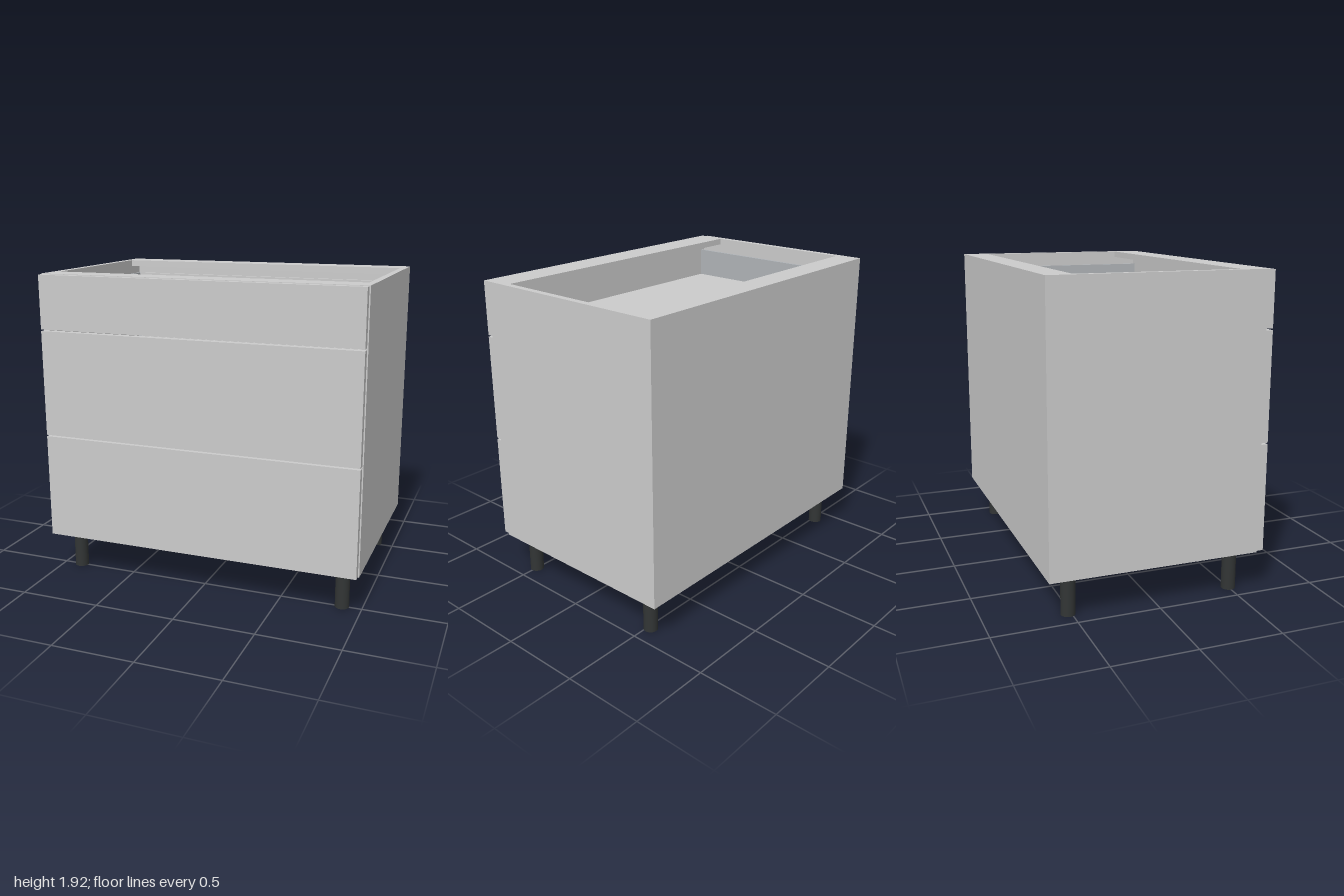
import * as THREE from 'three';

const grey = new THREE.MeshStandardMaterial({ color: 0xcccccc });
const metal = new THREE.MeshStandardMaterial({ color: 0xb0b4b8 });
const dark = new THREE.MeshStandardMaterial({ color: 0x323535 });

// Box given by its extents on each axis
function panel(parent, name, [x0, x1], [y0, y1], [z0, z1], material = grey) {
  const mesh = new THREE.Mesh(new THREE.BoxGeometry(x1 - x0, y1 - y0, z1 - z0), material);
  mesh.position.set((x0 + x1) / 2, (y0 + y1) / 2, (z0 + z1) / 2);
  mesh.name = name;
  parent.add(mesh);
}

export function createModel() {
  const model = new THREE.Group();
  model.name = 'drawerCabinet';

  const base = 0.255, top = 1.917, back = -0.663, front = 0.617, face = 0.663;
  const t = 0.04, inner = 1 - t;

  // Carcass
  panel(model, 'leftSide', [inner, 1], [base, top], [back, front]);
  panel(model, 'rightSide', [-1, -inner], [base, top], [back, front]);
  panel(model, 'bottomPanel', [-inner, inner], [base, base + t], [back, front]);
  panel(model, 'backPanel', [-inner, inner], [base + t, top - t], [back, back + t]);
  panel(model, 'backRail', [-inner, inner], [top - t, top], [back, -0.505]);
  panel(model, 'frontRail', [-inner, inner], [top - t, top], [0.465, front]);

  // Drawers: front panel extents and height of the box walls
  const drawers = [
    { y0: 0.26, y1: 0.913, wall: 0.4 },
    { y0: 0.922, y1: 1.575, wall: 0.4 },
    { y0: 1.585, y1: 1.914, wall: 0.2 },
  ];
  drawers.forEach(({ y0, y1, wall }, i) => {
    const drawer = new THREE.Group();
    drawer.name = `drawer${i + 1}`;
    const floor = y0 + 0.06, rim = floor - 0.02 + wall, zBack = -0.59;
    panel(drawer, 'drawerFront', [-0.993, 0.993], [y0, y1], [front + 0.002, face]);
    panel(drawer, 'drawerFloor', [-0.925, 0.925], [floor - 0.03, floor], [zBack, front]);
    panel(drawer, 'drawerBack', [-0.925, 0.925], [floor, rim], [zBack, zBack + 0.025]);
    for (const s of [-1, 1]) {
      const xs = s > 0 ? [0.925, 0.945] : [-0.945, -0.925];
      panel(drawer, 'drawerSide', xs, [floor - 0.03, rim], [zBack, front], metal);
    }
    model.add(drawer);
  });

  // Legs
  for (const x of [-0.88, 0.88]) {
    for (const z of [-0.52, 0.5]) {
      const leg = new THREE.Mesh(new THREE.CylinderGeometry(0.043, 0.043, base, 32), dark);
      leg.position.set(x, base / 2, z);
      leg.name = 'leg';
      model.add(leg);
    }
  }
  return model;
}
